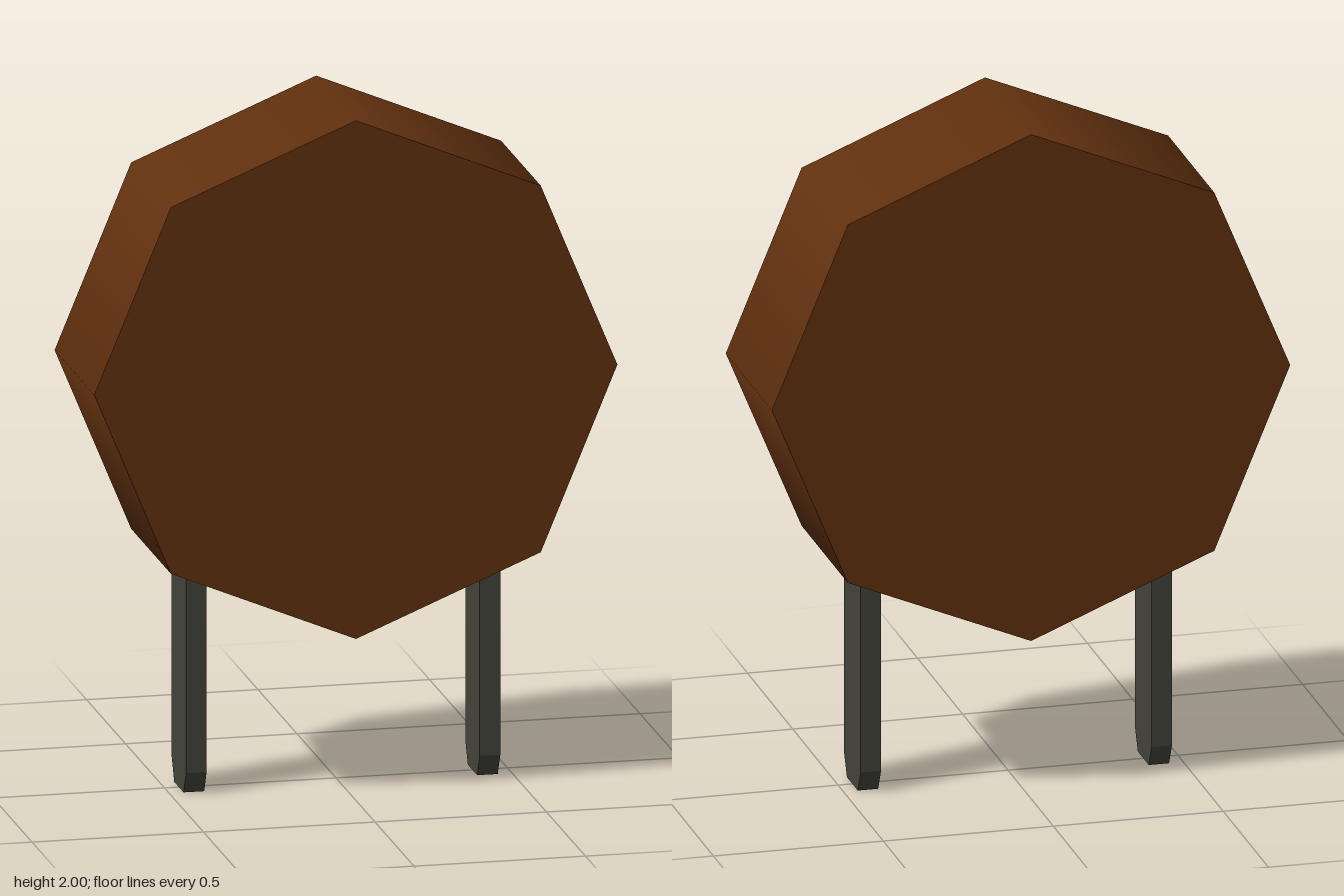
import * as THREE from 'three';

export function createModel() {
  const model = new THREE.Group();
  const brown = new THREE.MeshStandardMaterial({ color: 0x62310f });
  brown.name = 'brown body';
  const grey = new THREE.MeshStandardMaterial({ color: 0x43433b });
  grey.name = 'dark grey metal';

  // Eight-sided disc with smooth rim, a corner pointing straight up
  const radius = 0.7625;
  const discGeometry = new THREE.CylinderGeometry(radius, radius, 0.51, 8);
  discGeometry.rotateX(Math.PI / 2);
  const body = new THREE.Mesh(discGeometry, brown);
  body.name = 'discBody';
  body.position.y = 2 - radius;
  model.add(body);

  // Flat pin outline with a chamfered tip; the top is buried in the body
  const outline = new THREE.Shape([
    [-0.06, 0], [0.06, 0], [0.092, 0.065], [0.092, 0.7], [-0.092, 0.7], [-0.092, 0.065],
  ].map(([x, y]) => new THREE.Vector2(x, y)));
  const thickness = 0.06;
  const pinGeometry = new THREE.ExtrudeGeometry(outline, { depth: thickness, bevelEnabled: false });
  pinGeometry.translate(0, 0, -thickness / 2);
  pinGeometry.rotateY(Math.PI / 2);

  for (const [name, side] of [['leftPin', 1], ['rightPin', -1]]) {
    const pin = new THREE.Mesh(pinGeometry, grey);
    pin.name = name;
    pin.position.x = side * 0.428;
    model.add(pin);
  }
  return model;
}
